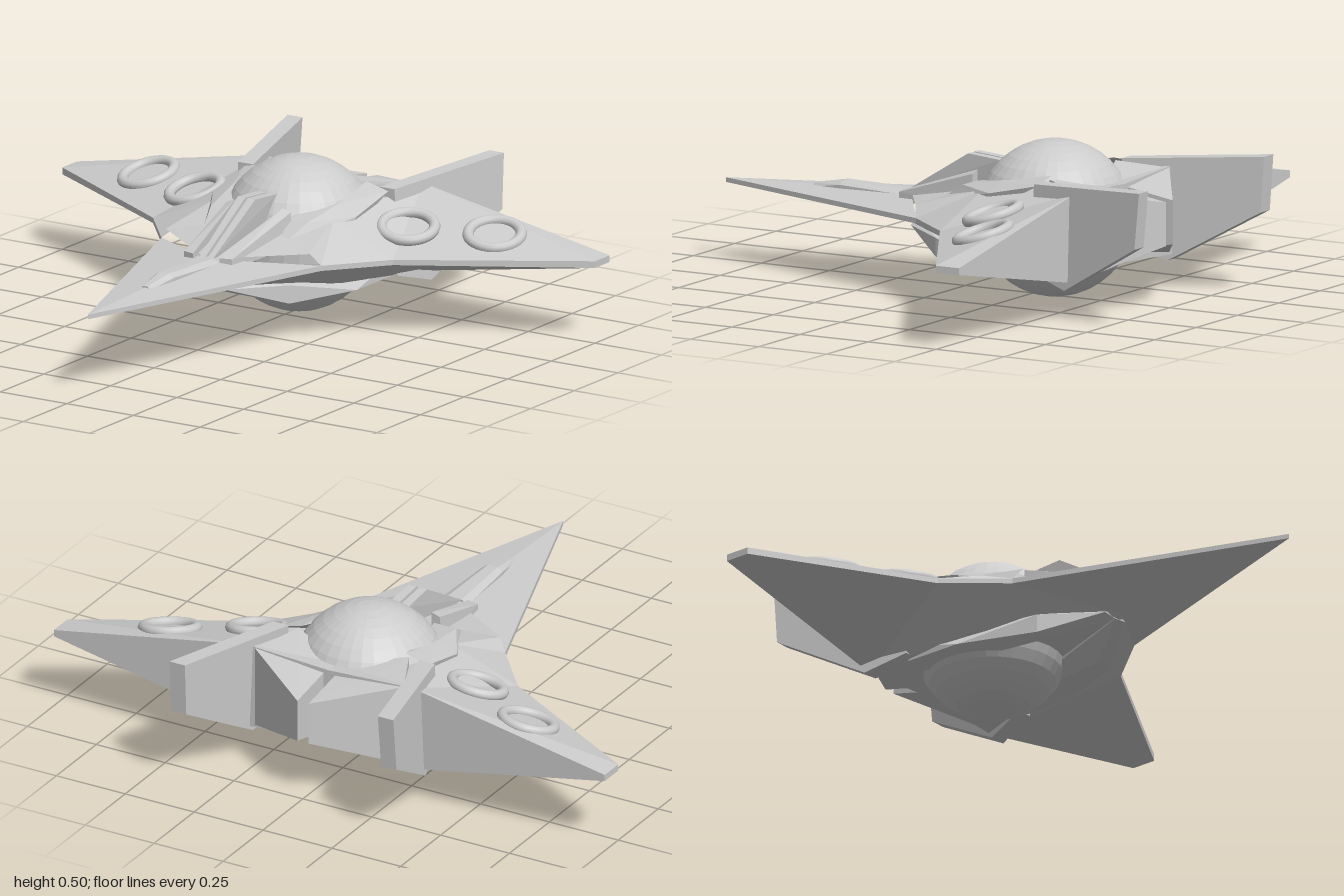
import * as THREE from 'three';
import { ConvexGeometry } from 'three/addons/geometries/ConvexGeometry.js';

const material = new THREE.MeshStandardMaterial({ color: 0xcccccc, flatShading: true });
const smooth = new THREE.MeshStandardMaterial({ color: 0xcccccc });

export function createModel() {
  const model = new THREE.Group();
  model.name = 'starfighter';

  const add = (name, geometry, mat = material) => {
    const mesh = new THREE.Mesh(geometry, mat);
    mesh.name = name;
    model.add(mesh);
    return mesh;
  };
  // Convex solid from corner points on the left and its mirror on the right
  const addPair = (name, points) => {
    for (const s of [1, -1]) {
      const corners = points.map(([x, y, z]) => new THREE.Vector3(s * x, y, z));
      add((s > 0 ? 'left' : 'right') + name, new ConvexGeometry(corners));
    }
  };

  // Hull: half of the corners by letter, upper case above and lower case below the rim
  const P = {
    N: [0, 0.262, 0.88], A: [0.3, 0.262, 0], B: [0.45, 0.262, -0.18],
    C: [1, 0.267, -0.5], D: [1, 0.267, -0.585], E: [0.3, 0.395, -0.585],
    F: [0.22, 0.36, -0.2], G: [0.27, 0.3, 0.02], H: [0, 0.285, 0.2], J: [0, 0.38, -0.585],
    K: [0, 0.345, -0.1],
    n: [0, 0.247, 0.88], a: [0.3, 0.245, 0], b: [0.45, 0.245, -0.18],
    c: [1, 0.245, -0.5], d: [1, 0.245, -0.585], e: [0.3, 0.11, -0.585],
    f: [0.25, 0.152, -0.2], h: [0, 0.185, 0.2], j: [0, 0.13, -0.585],
  };
  const faces = [
    'NAH', 'HAG', 'AFG', 'HGK', 'GFK', 'ABF', 'BEF', 'BCE', 'CDE', 'KFJ', 'FEJ', // top
    'nha', 'haf', 'abf', 'bef', 'bce', 'cde', 'hfj', 'fej', // underside
    'NnA', 'naA', 'AaB', 'abB', 'BbC', 'bcC', 'CcD', 'cdD', // rim
    'DdE', 'deE', 'EeJ', 'ejJ', // back
  ];
  const hull = [];
  const center = new THREE.Vector3();
  const v = [new THREE.Vector3(), new THREE.Vector3(), new THREE.Vector3()];
  faces.forEach((face, i) => {
    [...face].forEach((k, j) => v[j].set(...P[k]));
    // Orient every face outward: up, down, sideways or back
    const n = v[1].clone().sub(v[0]).cross(v[2].clone().sub(v[0]));
    if (i < 11) center.set(0, 1, 0);
    else if (i < 19) center.set(0, -1, 0);
    else if (i < 27) center.set(1, 0, face.toUpperCase().includes('D') ? 0 : 0.8);
    else center.set(0, 0, -1);
    const order = n.dot(center) > 0 ? [0, 1, 2] : [0, 2, 1];
    for (const k of order) hull.push(v[k].x, v[k].y, v[k].z);
    for (const k of [...order].reverse()) hull.push(-v[k].x, v[k].y, v[k].z);
  });
  const hullGeometry = new THREE.BufferGeometry();
  hullGeometry.setAttribute('position', new THREE.Float32BufferAttribute(hull, 3));
  hullGeometry.computeVertexNormals();
  add('hull', hullGeometry);

  // Core sphere through the hull
  add('coreSphere', new THREE.SphereGeometry(0.25, 32, 20)).position.set(0, 0.25, -0.33);

  // Splayed tail fins
  const fin = [];
  for (const [z, y] of [[-0.43, 0.41], [-0.885, 0.44], [-0.87, 0.26], [-0.57, 0.09], [-0.43, 0.13]]) {
    const x = 0.27 - (z + 0.43) * 0.25;
    const lean = (0.3 - y) * 0.04;
    fin.push([x - 0.028 + lean, y, z], [x + 0.028 + lean, y, z]);
  }
  addPair('TailFin', fin);

  // Tail wedges either side of the centre slot
  addPair('TailWedge', [
    [0.02, 0.34, -0.75], [0.02, 0.2, -0.75], [0.27, 0.39, -0.585], [0.27, 0.12, -0.585],
    [0.02, 0.38, -0.5], [0.02, 0.14, -0.5], [0.2, 0.41, -0.43], [0.2, 0.13, -0.43],
  ]);

  // Raised collar beside the sphere
  addPair('Collar', [
    [0.15, 0.3, 0], [0.1, 0.36, -0.1], [0.18, 0.36, -0.1], [0.27, 0.36, -0.25],
    [0.2, 0.39, -0.25], [0.27, 0.4, -0.43], [0.19, 0.42, -0.43], [0.25, 0.28, -0.2],
  ]);

  // Forked struts in front of the sphere
  addPair('InnerStrut', [
    [0.005, 0.43, -0.03], [0.033, 0.43, -0.03], [0.005, 0.42, -0.15], [0.035, 0.42, -0.15],
    [0.005, 0.29, 0.2], [0.025, 0.29, 0.2], [0.005, 0.28, -0.1], [0.02, 0.28, -0.1],
  ]);
  addPair('OuterStrut', [
    [0.05, 0.295, 0.2], [0.09, 0.295, 0.19], [0.09, 0.395, -0.1], [0.12, 0.385, -0.1],
    [0.05, 0.26, 0.2], [0.09, 0.26, 0.19], [0.09, 0.28, -0.1], [0.13, 0.28, -0.1],
  ]);

  // Low spine along the nose
  const spine = [];
  for (const [z, w, y] of [[0.2, 0.05, 0.29], [0.44, 0.035, 0.297], [0.55, 0.018, 0.278]]) {
    for (const s of [1, -1]) spine.push(new THREE.Vector3(s * w, y - 0.012, z),
      new THREE.Vector3(s * w * 0.5, y, z), new THREE.Vector3(s * w, 0.25, z));
  }
  add('noseSpine', new ConvexGeometry(spine));

  // Chevron arms under the hull
  addPair('ChinArm', [
    [0, 0.21, 0.17], [0, 0.18, 0.17], [0.05, 0.185, 0.17], [0.12, 0.12, 0], [0.18, 0.12, 0],
    [0.18, 0.18, 0], [0.27, 0.12, -0.25], [0.27, 0.12, -0.45], [0.18, 0.12, -0.45], [0.27, 0.17, -0.45],
  ]);

  // Rings lying on the sloping wing tops
  for (const s of [1, -1]) {
    for (const [x, y, z] of [[0.65, 0.312, -0.46], [0.4, 0.325, -0.345]]) {
      const ring = add('wingRing', new THREE.TorusGeometry(0.084, 0.018, 10, 32), smooth);
      ring.position.set(s * x, y, z);
      const up = new THREE.Vector3(s * 0.148, 1, 0.254).normalize();
      ring.quaternion.setFromUnitVectors(new THREE.Vector3(0, 0, 1), up);
    }
  }
  return model;
}
